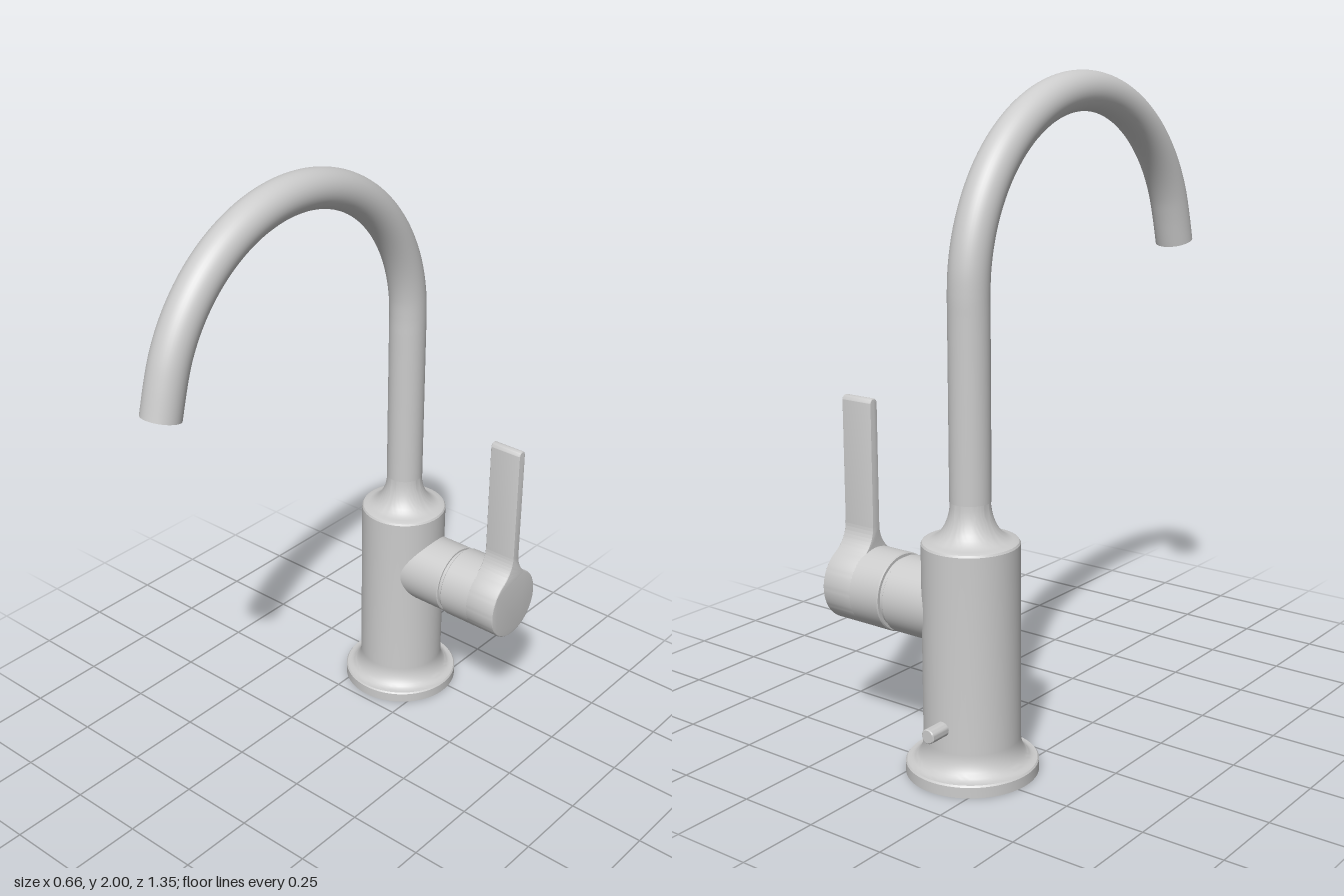
import * as THREE from 'three';
import { toCreasedNormals } from 'three/addons/utils/BufferGeometryUtils.js';

const CX = -0.14, CZ = -0.467; // vertical axis of the body
const AXIS_Y = 0.49;           // height of the handle axis
const material = new THREE.MeshStandardMaterial({ color: 0xcccccc });

function addMesh(parent, name, geometry, crease = true) {
  const mesh = new THREE.Mesh(crease ? toCreasedNormals(geometry, 0.5) : geometry, material);
  mesh.name = name;
  parent.add(mesh);
  return mesh;
}

function lathe(points, segments = 64) {
  return new THREE.LatheGeometry(points.map(([r, y]) => new THREE.Vector2(r, y)), segments);
}

// Concave quarter ellipse from (r0, y0), flat at the start, to (r1, y1), vertical at the end
function cove(r0, y0, r1, y1, steps = 10) {
  return Array.from({ length: steps + 1 }, (_, i) => {
    const a = (i / steps) * Math.PI / 2;
    return [r0 + (r1 - r0) * Math.sin(a), y0 + (y1 - y0) * (1 - Math.cos(a))];
  });
}

// Lever outline: round hub blended by tangent fillets into a thin upright blade
function leverShape() {
  const hub = 0.119, half = 0.016, fillet = 0.1, top = 0.573;
  const fx = half + fillet;
  const fy = Math.sqrt((hub + fillet) ** 2 - fx ** 2);
  const a = Math.atan2(fy, fx);
  const shape = new THREE.Shape();
  shape.absarc(0, 0, hub, Math.PI - a, 2 * Math.PI + a, false);
  shape.absarc(fx, fy, fillet, Math.PI + a, Math.PI, true);
  shape.absarc(0, top - half, half, 0, Math.PI, false);
  shape.absarc(-fx, fy, fillet, 0, -a, true);
  return shape;
}

export function createModel() {
  const model = new THREE.Group();
  model.name = 'faucet';

  // Turned body: base flange, coved foot, cylinder and coved shoulder
  const body = addMesh(model, 'body', lathe([
    [0, 0], [0.195, 0], [0.195, 0.032], [0.191, 0.037],
    ...cove(0.187, 0.037, 0.1425, 0.105),
    [0.1425, 0.692], [0.139, 0.698],
    ...cove(0.132, 0.701, 0.058, 0.82),
    [0, 0.82],
  ], 80));
  body.position.set(CX, 0, CZ);

  // Gooseneck spout: upright, arch, short straight outlet
  const R = 0.537, archZ = CZ + R, archY = 1.403, tilt = Math.PI / 12;
  const path = [[0.815, CZ], [1.0, CZ], [1.2, CZ], [1.34, CZ]];
  for (let i = 0; i <= 24; i++) {
    const a = Math.PI - (i / 24) * (Math.PI - tilt);
    path.push([archY + R * Math.sin(a), archZ + R * Math.cos(a)]);
  }
  const [arcY, arcZ] = path[path.length - 1];
  const end = [arcY - 0.1 * Math.cos(tilt), arcZ + 0.1 * Math.sin(tilt)];
  path.push(end);
  const curve = new THREE.CatmullRomCurve3(path.map(([y, z]) => new THREE.Vector3(CX, y, z)));
  addMesh(model, 'spout', new THREE.TubeGeometry(curve, 140, 0.06, 40), false);
  const outlet = addMesh(model, 'spoutOutlet', new THREE.CircleGeometry(0.06, 40), false);
  outlet.position.set(CX, ...end);
  outlet.rotation.x = Math.PI / 2 - tilt;

  // Side valve along +x: collar, groove and rounded hub
  const valve = new THREE.Group();
  valve.name = 'valve';
  valve.position.set(0, AXIS_Y, CZ);
  model.add(valve);
  const turned = (name, points) => {
    addMesh(valve, name, lathe(points)).rotation.z = -Math.PI / 2;
  };
  turned('valveCollar', [[0, -0.1], [0.116, -0.1], [0.116, 0.097], [0.113, 0.1], [0, 0.1]]);
  turned('valveGroove', [[0, 0.095], [0.107, 0.095], [0.107, 0.12], [0, 0.12]]);
  turned('handleHub', [[0, 0.115], [0.116, 0.115], [0.119, 0.118], [0.119, 0.225], [0, 0.225]]);

  // Lever with softened edges
  const bevel = 0.005;
  const lever = addMesh(valve, 'lever', new THREE.ExtrudeGeometry(leverShape(), {
    depth: 0.112 - 2 * bevel, curveSegments: 32,
    bevelEnabled: true, bevelSize: bevel, bevelThickness: bevel, bevelOffset: -bevel, bevelSegments: 3,
  }));
  lever.rotation.y = Math.PI / 2;
  lever.position.x = 0.218 + bevel;

  // Small pin at the back
  const pin = addMesh(model, 'rearPin', lathe([
    [0, 0], [0.022, 0], [0.022, 0.092], [0.019, 0.095], [0, 0.095],
  ], 28));
  pin.rotation.x = -Math.PI / 2;
  pin.position.set(CX - 0.004, 0.175, -0.58);

  return model;
}
